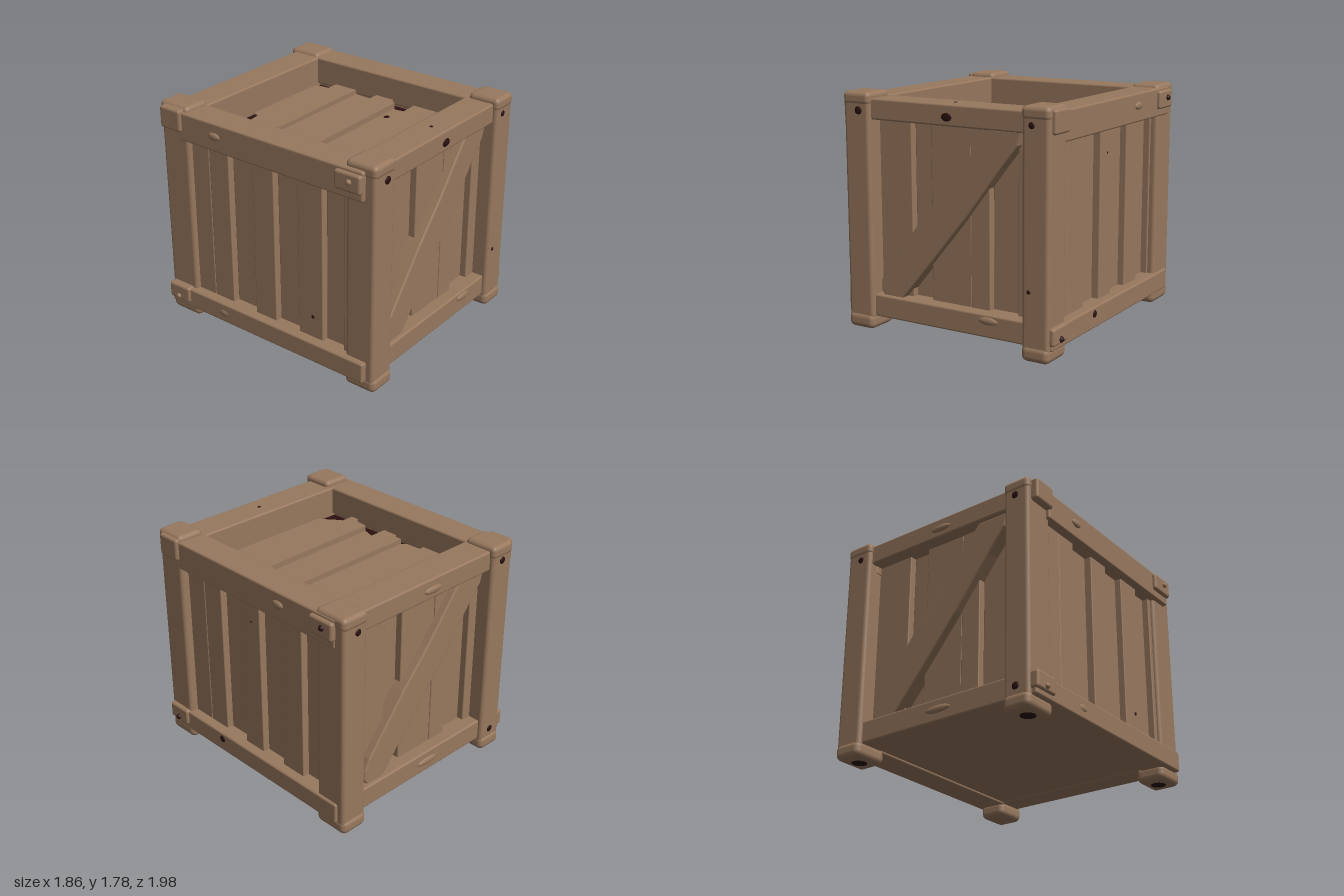
import * as THREE from 'three';
import { RoundedBoxGeometry } from 'three/addons/geometries/RoundedBoxGeometry.js';

export function createModel() {
  const wood = new THREE.MeshStandardMaterial({ color: 0x98785e });
  wood.name = 'brown wood';
  const dark = new THREE.MeshStandardMaterial({ color: 0x2a1010 });
  dark.name = 'dark iron';

  const add = (parent, name, geometry, material = wood) => {
    const mesh = new THREE.Mesh(geometry, material);
    mesh.name = name;
    parent.add(mesh);
    return mesh;
  };

  // Softly rounded beam given by its extents on each axis
  const beam = (parent, name, [x0, x1], [y0, y1], [z0, z1], radius = 0.015) => {
    const mesh = add(parent, name, new RoundedBoxGeometry(x1 - x0, y1 - y0, z1 - z0, 3, radius));
    mesh.position.set((x0 + x1) / 2, (y0 + y1) / 2, (z0 + z1) / 2);
    return mesh;
  };

  // Flattened dome used for bolts, stains and wood knots
  const dome = (parent, name, position, scale, material = dark) => {
    const mesh = add(parent, name, new THREE.SphereGeometry(1, 14, 10), material);
    mesh.position.set(...position);
    mesh.scale.set(...scale);
  };

  const slab = (points, depth, bevel) => new THREE.ExtrudeGeometry(
    new THREE.Shape(points.map(([x, y]) => new THREE.Vector2(x, y))),
    { depth, bevelEnabled: bevel > 0, bevelSize: bevel, bevelThickness: bevel, bevelOffset: -bevel, bevelSegments: 2 });

  const crate = new THREE.Group();
  crate.name = 'crate';

  // Closed core and floor
  beam(crate, 'core', [-0.72, 0.72], [0.12, 1.47], [-0.78, 0.78], 0.005);
  beam(crate, 'floor', [-0.84, 0.84], [0.11, 0.15], [-0.92, 0.92], 0.005);

  // Corner posts with soft caps and swollen feet; x, z, top height, iron pad under the foot
  const posts = [
    [[-0.845, -0.62], [0.735, 0.98], 1.775, true],
    [[0.66, 0.875], [0.735, 0.98], 1.77, false],
    [[-0.85, -0.64], [-0.98, -0.715], 1.765, true],
    [[0.65, 0.87], [-0.98, -0.715], 1.755, true],
  ];
  const grow = ([a, b], g) => [a - g, b + g];
  for (const [x, z, top, pad] of posts) {
    beam(crate, 'post', x, [0.02, top - 0.015], z, 0.03);
    beam(crate, 'postCap', grow(x, 0.004), [top - 0.1, top], grow(z, 0.006), 0.035);
    beam(crate, 'postFoot', grow(x, 0.004), [0, 0.12], grow(z, 0.012), 0.045);
    if (pad) dome(crate, 'footPad', [(x[0] + x[1]) / 2, 0.003, (z[0] + z[1]) / 2], [0.07, 0.005, 0.075]);
  }

  // Planks alternate between a sunken and a raised level
  const frontEdges = [-0.66, -0.34, -0.17, 0.17, 0.33, 0.56, 0.7];
  const frontFaces = [0.845, 0.795, 0.845, 0.85, 0.8, 0.85];
  const sideEdges = [0.78, 0.55, 0.36, 0.13, -0.07, -0.29, -0.51, -0.7, -0.78];
  const sideFaces = [0.81, 0.81, 0.76, 0.815, 0.765, 0.815, 0.765, 0.815];

  // Details that differ: bolts as [x, y, z, half width, half height] on the front, [x, y, z, radius] on the side
  const walls = [
    {
      name: 'frontAndRightWalls', turn: 0, tip: dark,
      frontBolts: [[-0.71, 1.64, 0.98, 0.032, 0.03], [0.035, 1.64, 0.945, 0.044, 0.03],
        [0.74, 1.64, 0.98, 0.024, 0.024], [0.72, 0.5, 0.98, 0.015, 0.015]],
      sideBolts: [[0.89, 0.2, 0.33, 0.028], [0.81, 1.33, 0.02, 0.01]],
      frontKnots: [[0.37, 0.225, 0.08]],
      sideKnots: [[-0.35, 1.635]],
    },
    {
      name: 'backAndLeftWalls', turn: Math.PI, tip: wood,
      frontBolts: [[-0.74, 1.62, 0.98, 0.026, 0.026], [0.74, 1.64, 0.98, 0.028, 0.028], [0.74, 0.17, 0.98, 0.028, 0.028]],
      sideBolts: [[0.813, 0.42, -0.42, 0.015]],
      frontKnots: [[0.03, 1.645, 0.09], [0.05, 0.19, 0.11]],
      sideKnots: [[0.42, 1.63], [0.4, 0.17]],
    },
  ];

  for (const wall of walls) {
    const half = new THREE.Group();
    half.name = wall.name;
    half.rotation.y = wall.turn;
    crate.add(half);

    // Front planks, rails and diagonal brace
    frontFaces.forEach((face, i) => beam(half, 'frontPlank', [frontEdges[i], frontEdges[i + 1]], [0.15, 1.6],
      [0.74, face], 0.008));
    beam(half, 'frontTopRail', [-0.7, 0.72], [1.575, 1.73], [0.7, 0.945]);
    beam(half, 'frontRailLining', [-0.7, 0.7], [1.4, 1.65], [0.7, 0.78], 0.005);
    beam(half, 'frontBottomRail', [-0.7, 0.72], [0.1, 0.27], [0.74, 0.945]);
    const brace = add(half, 'diagonalBrace', slab([
      [-0.56, 0.26], [-0.59, 0.31], [-0.585, 0.38], [-0.54, 0.47], [-0.2, 0.9], [0.04, 1.17], [0.36, 1.58],
      [0.62, 1.58], [0.59, 1.48], [0.45, 1.31], [0.16, 0.93], [-0.13, 0.58], [-0.4, 0.26],
    ], 0.12, 0.012));
    brace.position.z = 0.78;

    // Side planks and rails
    sideFaces.forEach((face, i) => beam(half, 'sidePlank', [0.67, face], [0.15, 1.6],
      [sideEdges[i + 1], sideEdges[i]], 0.008));
    beam(half, 'sideTopRail', [0.645, 0.88], [1.51, 1.73], [-0.9, 0.76]);
    beam(half, 'sideBottomRail', [0.66, 0.89], [0.09, 0.25], [-0.92, 0.95]);

    // Raised blocks at the rail ends, each with a bolt where the iron shows
    beam(half, 'frontUpperBlock', [0.8, 0.905], [1.58, 1.75], [0.74, 0.94], 0.02);
    beam(half, 'rearUpperBlock', [0.8, 0.91], [1.57, 1.71], [-0.9, -0.68], 0.02);
    beam(half, 'frontLowerBlock', [0.8, 0.91], [0.13, 0.26], [0.75, 0.96], 0.02);
    dome(half, 'blockBolt', [0.91, 1.65, -0.81], [0.022, 0.022, 0.022], wall.tip);
    dome(half, 'blockBolt', [0.91, 0.165, 0.86], [0.022, 0.022, 0.022], wall.tip);

    // Bolts and wood knots
    for (const [x, y, z, w, h] of wall.frontBolts) dome(half, 'frontBolt', [x, y, z], [w, h, 0.009]);
    for (const [x, y, z, r] of wall.sideBolts) dome(half, 'sideBolt', [x, y, z], [0.01, r, r]);
    for (const [x, y, w] of wall.frontKnots) dome(half, 'frontKnot', [x, y, 0.945], [w, 0.028, 0.016], wood);
    for (const [z, y] of wall.sideKnots) dome(half, 'sideKnot', [0.88, y, z], [0.018, 0.03, 0.055], wood);
  }
  dome(crate, 'topBolt', [0.03, 1.73, 0.82], [0.014, 0.005, 0.014]);

  // Sunken lid: slats with worn ends over a dark backing
  const backing = add(crate, 'lidBacking', new THREE.BoxGeometry(1.36, 0.02, 1.46), dark);
  backing.position.set(0, 1.48, 0.01);
  // Each slat: top height, then its outline as [x, z], running from the front left corner to the right
  const slats = [
    [1.505, [[-0.66, -0.505], [0.63, -0.515], [0.62, -0.66], [0.58, -0.72], [-0.13, -0.72], [-0.17, -0.64], [-0.27, -0.63],
      [-0.33, -0.72], [-0.4, -0.72], [-0.45, -0.65], [-0.57, -0.63], [-0.6, -0.59], [-0.66, -0.58]]],
    [1.545, [[-0.66, -0.3], [0.67, -0.31], [0.67, -0.515], [-0.66, -0.505]]],
    [1.51, [[-0.61, -0.09], [0.62, -0.11], [0.64, -0.2], [0.64, -0.31], [-0.66, -0.3], [-0.65, -0.13]]],
    [1.55, [[-0.66, 0.115], [0.6, 0.1], [0.62, 0.06], [0.67, 0.05], [0.67, -0.11], [-0.62, -0.09], [-0.62, -0.03], [-0.66, 0]]],
    [1.505, [[-0.6, 0.275], [0.64, 0.25], [0.64, 0.22], [0.59, 0.19], [0.58, 0.1], [-0.57, 0.115], [-0.57, 0.18]]],
    [1.55, [[-0.66, 0.475], [0.67, 0.465], [0.67, 0.25], [-0.6, 0.275], [-0.61, 0.39], [-0.66, 0.41]]],
    [1.51, [[-0.45, 0.74], [0.31, 0.74], [0.34, 0.7], [0.57, 0.68], [0.62, 0.63], [0.63, 0.465], [-0.6, 0.475], [-0.6, 0.55]]],
  ];
  for (const [top, outline] of slats) {
    const slat = add(crate, 'lidSlat', slab(outline.map(([x, z]) => [x, -z]), top - 1.48, 0));
    slat.rotation.x = -Math.PI / 2;
    slat.position.y = 1.48;
  }
  dome(crate, 'lidStain', [0.42, 1.505, 0.155], [0.026, 0.004, 0.022]);

  return crate;
}
